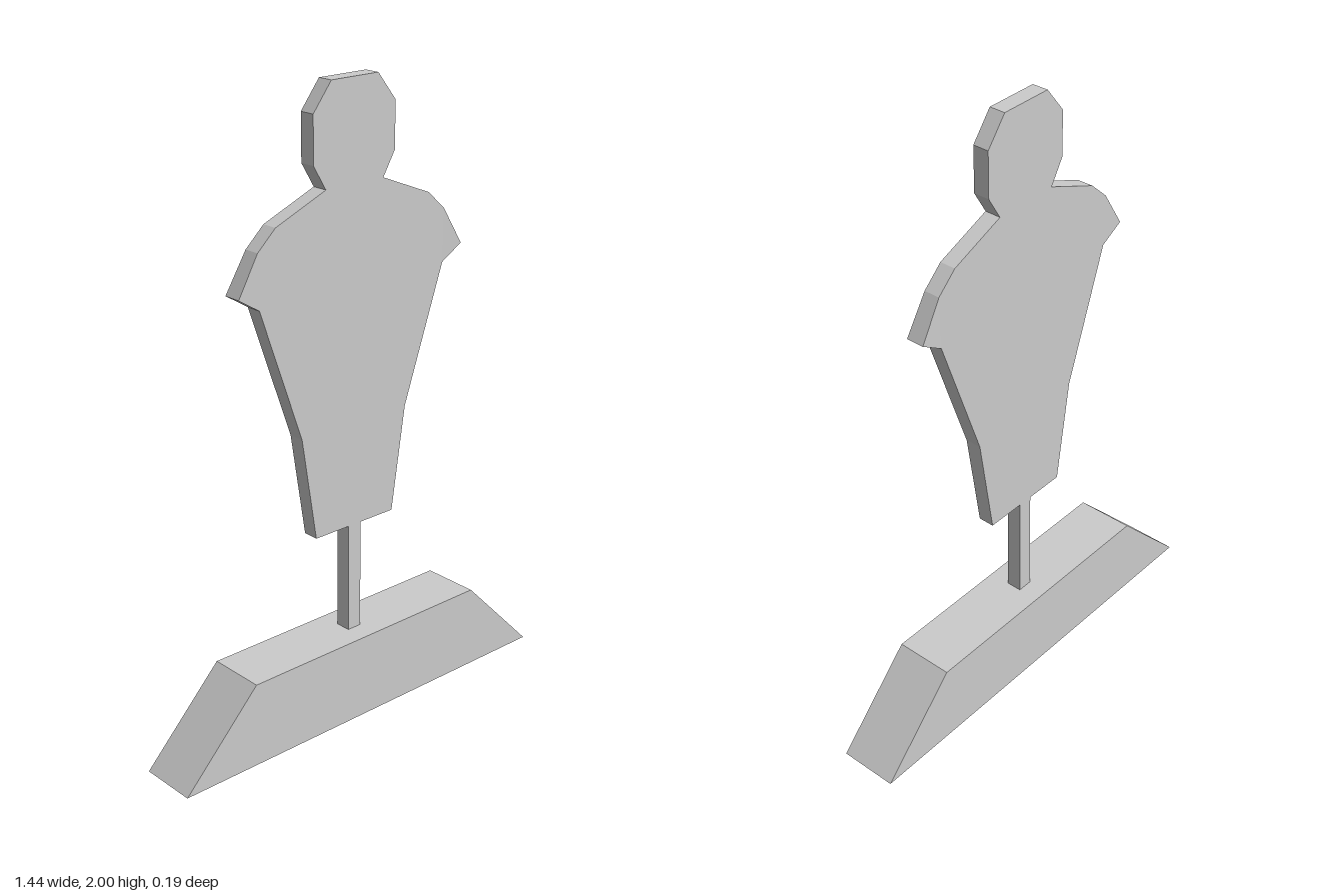
import * as THREE from 'three';

const material = new THREE.MeshStandardMaterial({ color: 0xcccccc, flatShading: true });

// Extrudes a left-right symmetric outline, given as its +x half from bottom to top, centred on z = 0
function mirroredSlab(name, half, depth) {
  const outline = [...half, ...half.map(([x, y]) => [-x, y]).reverse()];
  const shape = new THREE.Shape(outline.map(([x, y]) => new THREE.Vector2(x, y)));
  const geometry = new THREE.ExtrudeGeometry(shape, { depth, bevelEnabled: false });
  geometry.translate(0, 0, -depth / 2);
  const mesh = new THREE.Mesh(geometry, material);
  mesh.name = name;
  return mesh;
}

export function createModel() {
  const model = new THREE.Group();
  model.name = 'silhouetteTarget';

  // Trapezoid foot
  model.add(mirroredSlab('base', [[0.718, 0], [0.452, 0.273]], 0.19));

  // Square post
  const post = new THREE.Mesh(new THREE.BoxGeometry(0.05, 0.37, 0.05), material);
  post.name = 'post';
  post.position.y = 0.45;
  model.add(post);

  // Head and torso board
  const board = mirroredSlab('silhouetteBoard', [
    [0.155, 0.63], [0.207, 0.965], [0.357, 1.393], [0.432, 1.44],
    [0.36, 1.56], [0.295, 1.62], [0.11, 1.695],
    [0.155, 1.77], [0.155, 1.915], [0.088, 2],
  ], 0.052);

  // Arm tips are slightly thicker than the rest of the board
  const p = board.geometry.attributes.position;
  for (let i = 0; i < p.count; i++) {
    if (Math.abs(p.getX(i)) > 0.4) p.setZ(i, p.getZ(i) * 1.12);
  }
  board.geometry.computeVertexNormals();
  model.add(board);

  return model;
}
